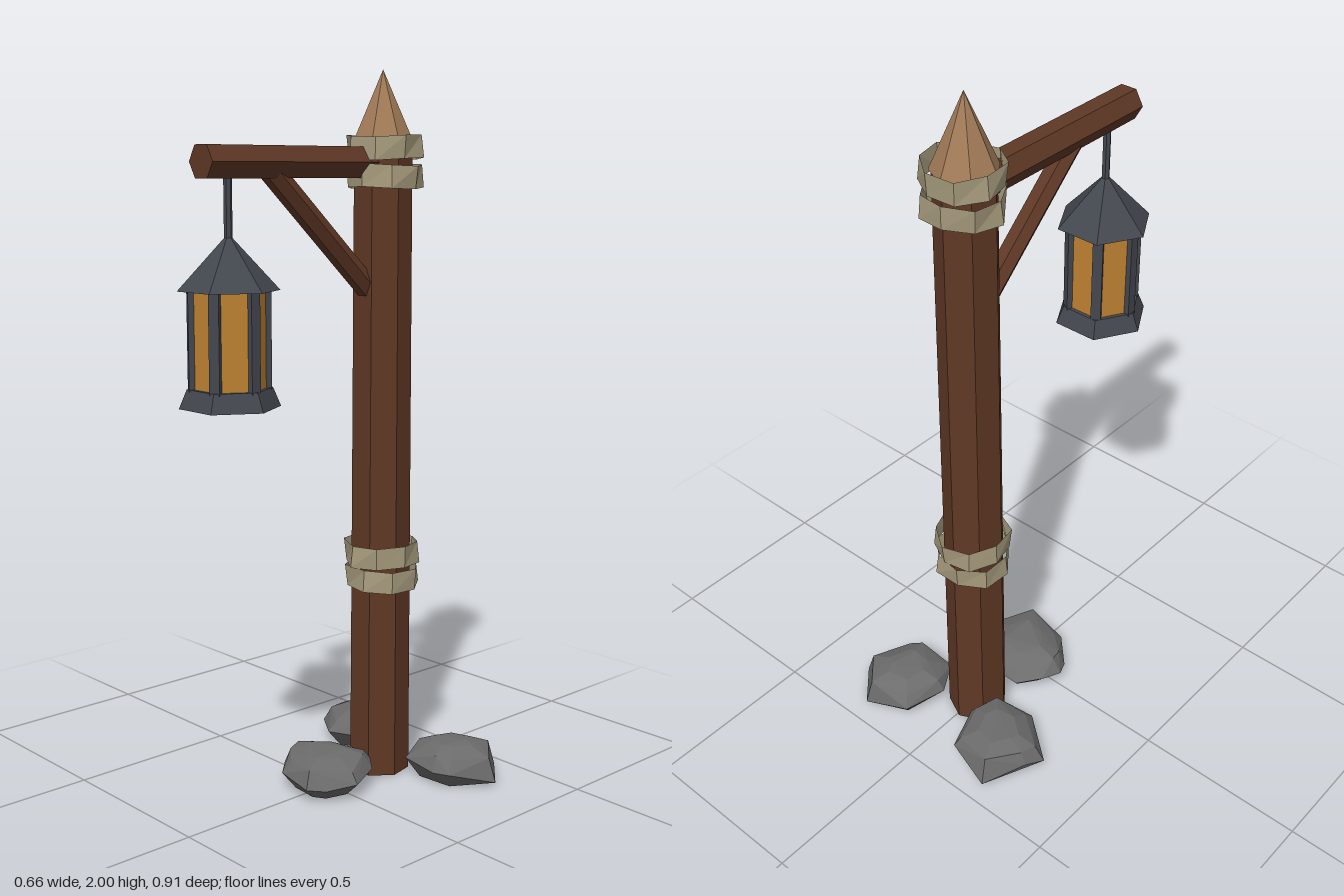
import * as THREE from 'three';
import { ConvexGeometry } from 'three/addons/geometries/ConvexGeometry.js';

const paint = (color, side = THREE.FrontSide) =>
  new THREE.MeshStandardMaterial({ color, flatShading: true, side });

export function createModel() {
  const model = new THREE.Group();
  const wood = paint(0x5f3825);
  const cutWood = paint(0xa27b58);
  const rope = paint(0xa59a7c, THREE.DoubleSide);
  const iron = paint(0x43474e);
  const glass = paint(0xc08332);
  const stone = paint(0x6c6c6c);

  const add = (name, geometry, material, x, y, z, parent = model) => {
    const mesh = new THREE.Mesh(geometry, material);
    mesh.name = name;
    mesh.position.set(x, y, z);
    parent.add(mesh);
    return mesh;
  };

  // Seven-sided post with a sharpened tip
  const px = -0.008, pz = -0.207;
  add('post', new THREE.CylinderGeometry(0.082, 0.088, 1.81, 7, 1, false, Math.PI), wood, px, 0.905, pz);
  add('postTip', new THREE.ConeGeometry(0.088, 0.2, 7, 1, false, Math.PI), cutWood, px, 1.9, pz);

  // Open rope bands with uneven edges, in two pairs
  const ropeBand = (y, seed) => {
    const geo = new THREE.CylinderGeometry(0.106, 0.106, 0.062, 8, 1, true, seed);
    const p = geo.attributes.position;
    for (let i = 0; i < p.count; i++) {
      const a = Math.atan2(p.getX(i), p.getZ(i));
      const r = 1 + 0.045 * Math.sin(3 * a + seed * 5 + Math.sign(p.getY(i)));
      p.setXYZ(i, p.getX(i) * r, p.getY(i) + 0.004 * Math.sin(2 * a + seed * 7), p.getZ(i) * r);
    }
    add('ropeBand', geo, rope, 0, y, -0.207);
  };
  [[0.587, 0.3], [0.655, 0.65], [1.715, 0.2], [1.792, 0.55]].forEach(([y, s]) => ropeBand(y, s));

  // Hexagonal timbers running between two points in the plane of the arm
  const timber = (name, r, [y0, z0], [y1, z1]) => {
    const dir = new THREE.Vector3(0, y1 - y0, z1 - z0);
    const geo = new THREE.CylinderGeometry(r, r, dir.length(), 6, 1, false, Math.PI / 2);
    const mesh = add(name, geo, wood, px, (y0 + y1) / 2, (z0 + z1) / 2);
    mesh.quaternion.setFromUnitVectors(new THREE.Vector3(0, 1, 0), dir.normalize());
  };
  timber('arm', 0.048, [1.752, -0.2], [1.752, 0.42]);
  timber('brace', 0.032, [1.735, 0.2], [1.41, -0.152]);

  // Hanging lantern
  const lantern = new THREE.Group();
  lantern.name = 'lantern';
  lantern.position.set(-0.006, 0, 0.338);
  model.add(lantern);
  const hex = (name, rTop, rBottom, y0, y1, mat) => add(name,
    new THREE.CylinderGeometry(rTop, rBottom, y1 - y0, 6, 1, false, Math.PI / 2), mat, 0, (y0 + y1) / 2, 0, lantern);
  hex('hangerRod', 0.011, 0.011, 1.54, 1.73, iron);
  hex('lanternRoof', 0.004, 0.133, 1.43, 1.57, iron);
  hex('lanternGlass', 0.1, 0.1, 1.17, 1.435, glass);
  hex('lanternBase', 0.112, 0.133, 1.13, 1.18, iron);
  for (let i = 0; i < 6; i++) {
    const a = Math.PI / 2 + i * Math.PI / 3;
    const bar = add('lanternBar', new THREE.BoxGeometry(0.028, 0.27, 0.022), iron,
      Math.sin(a) * 0.096, 1.3, Math.cos(a) * 0.096, lantern);
    bar.rotation.y = a;
  }

  // Faceted stones: a girdle of [x, y, z] points, drawn in above and below
  const rock = (cx, cz, girdle) => {
    const pts = [];
    girdle.forEach(([x, y, z], i) => {
      const ring = (k, h) => pts.push(new THREE.Vector3((x - cx) * k, h, (z - cz) * k));
      ring(1, y);
      ring(0.8 + 0.05 * (i % 2), 0.078 + 0.008 * (i % 3));
      ring(0.45, 0.103 + 0.003 * (i % 3));
      ring(0.68, 0.006 * (i % 2));
    });
    add('stone', new ConvexGeometry(pts), stone, cx, 0, cz);
  };
  rock(-0.01, 0.005, [
    [-0.085, 0.05, -0.12], [0.04, 0.06, -0.125], [0.085, 0.05, -0.09], [0.14, 0.05, 0.02],
    [0.1, 0.04, 0.1], [0.065, 0.045, 0.143], [-0.065, 0.05, 0.12], [-0.14, 0.04, 0.045],
    [-0.16, 0.05, 0], [-0.14, 0.06, -0.06]]);
  rock(-0.19, -0.32, [
    [-0.33, 0.03, -0.28], [-0.31, 0.05, -0.34], [-0.245, 0.02, -0.455], [-0.105, 0.05, -0.42],
    [-0.055, 0.05, -0.29], [-0.09, 0.06, -0.215], [-0.205, 0.05, -0.187]]);
  rock(0.18, -0.315, [
    [0.095, 0.05, -0.412], [0.235, 0.012, -0.445], [0.268, 0.05, -0.38], [0.328, 0.01, -0.345],
    [0.27, 0.05, -0.215], [0.225, 0.05, -0.194], [0.11, 0.06, -0.2], [0.062, 0.05, -0.285]]);

  return model;
}
